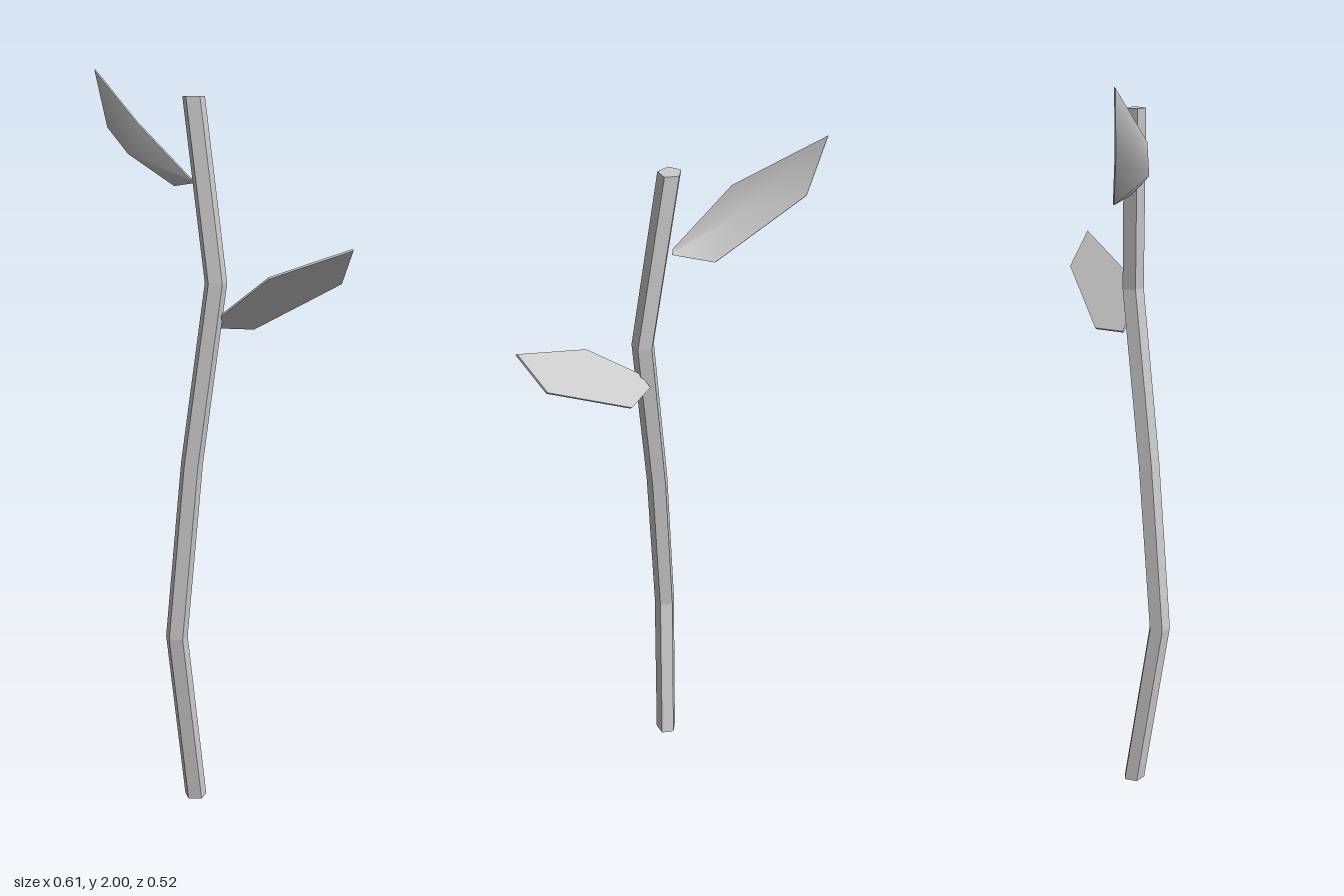
import * as THREE from 'three';

const SIDES = 5, RADIUS = 0.031;

function makeMesh(name, points, index, flat) {
  let geometry = new THREE.BufferGeometry();
  geometry.setAttribute('position', new THREE.Float32BufferAttribute(points.flat(), 3));
  geometry.setIndex(index);
  if (flat) geometry = geometry.toNonIndexed();
  geometry.computeVertexNormals();
  const material = new THREE.MeshStandardMaterial({ color: 0xcccccc, flatShading: flat });
  const mesh = new THREE.Mesh(geometry, material);
  mesh.name = name;
  return mesh;
}

// Five-sided stem lofted through level rings, with flat end caps
function makeStem(centres) {
  const points = [], index = [];
  for (const [x, y, z] of centres) {
    for (let j = 0; j < SIDES; j++) {
      const a = -0.1 + (j / SIDES) * Math.PI * 2;
      points.push([x + RADIUS * Math.cos(a), y, z + RADIUS * Math.sin(a)]);
    }
  }
  const last = (centres.length - 1) * SIDES;
  for (let j = 0; j < SIDES; j++) {
    const k = (j + 1) % SIDES;
    for (let r = 0; r < last; r += SIDES) {
      index.push(r + j, r + SIDES + j, r + k, r + k, r + SIDES + j, r + SIDES + k);
    }
  }
  for (let j = 1; j < SIDES - 1; j++) {
    index.push(0, j, j + 1, last, last + j + 1, last + j);
  }
  return makeMesh('stem', points, index, true);
}

// Thin leaf: two skins fanned around a midrib point, joined by a rim.
// The outline runs counterclockwise seen from the upper side.
function makeLeaf(name, outline, midrib, normal, thickness) {
  const n = outline.length;
  const shift = new THREE.Vector3(...normal).setLength(-thickness).toArray();
  const lower = (p) => p.map((v, i) => v + shift[i]);
  const top = [...outline, midrib], bottom = top.map(lower);
  const skinIndex = (flip) => outline.flatMap((_, i) => {
    const j = (i + 1) % n;
    return flip ? [n, j, i] : [n, i, j];
  });
  const rim = outline.flatMap((_, i) => {
    const j = (i + 1) % n, b = n + 1;
    return [i, b + i, j, j, b + i, b + j];
  });
  const leaf = new THREE.Group();
  leaf.name = name;
  leaf.add(
    makeMesh(name + 'Top', top, skinIndex(false), false),
    makeMesh(name + 'Underside', bottom, skinIndex(true), false),
    makeMesh(name + 'Rim', [...top, ...bottom], rim, true),
  );
  return leaf;
}

export function createModel() {
  const plant = new THREE.Group();
  plant.name = 'leafyStem';

  plant.add(makeStem([
    [-0.077, 0, 0.061],
    [-0.134, 0.48, 0.1],
    [-0.09, 0.96, 0.096],
    [-0.025, 1.44, 0.097],
    [-0.075, 1.92, 0.046],
  ]));

  // Flat lower leaf, tilted up toward the front
  const tilt = (x, z) => [x, 1.318 + (z - 0.065) * 1.14, z];
  plant.add(makeLeaf('lowerLeaf', [
    tilt(-0.012, 0.1), tilt(0.098, 0.192), tilt(0.302, 0.257),
    tilt(0.293, 0.177), tilt(0.083, 0.065), tilt(-0.015, 0.07),
  ], tilt(0.14, 0.14), [0, 0.66, -0.755], 0.007));

  // Cupped upper leaf, sweeping back and to the right
  plant.add(makeLeaf('upperLeaf', [
    [-0.07, 1.7, 0.037], [-0.108, 1.69, -0.065], [-0.27, 1.846, -0.228],
    [-0.3, 2, -0.262], [-0.208, 1.855, -0.052], [-0.08, 1.71, 0.042],
  ], [-0.231, 1.775, -0.069], [0.81, 0.53, -0.24], 0.004));

  return plant;
}
